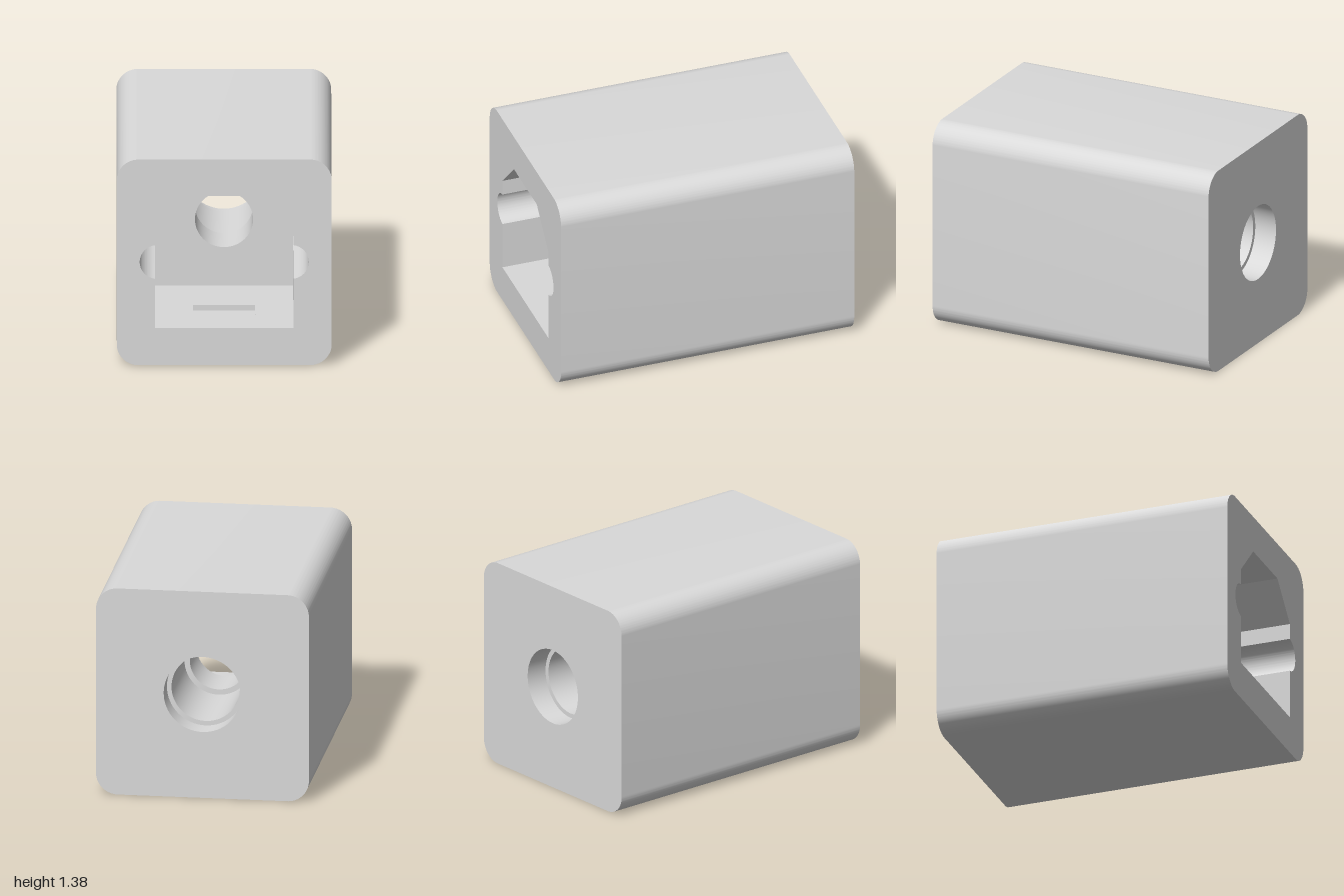
import * as THREE from 'three';
import { toCreasedNormals } from 'three/addons/utils/BufferGeometryUtils.js';

const HALF = 0.6915, CORNER = 0.14, MID = HALF;
const FRONT = 1, BACK = -1, CAVITY_END = 0.06, FLOOR = 0.25;
const AXIS_Y = 0.694, SLOT_DEPTH = 0.035;

// Walls swept along z; counter-clockwise points face outward, flip faces inward
function sleeve(points, z0, z1, flip = false) {
  const p = flip ? [...points].reverse() : points;
  const pos = [];
  for (let i = 0; i < p.length - 1; i++) {
    const a = p[i], b = p[i + 1];
    pos.push(a.x, a.y, z0, b.x, b.y, z0, b.x, b.y, z1);
    pos.push(a.x, a.y, z0, b.x, b.y, z1, a.x, a.y, z1);
  }
  const g = new THREE.BufferGeometry();
  g.setAttribute('position', new THREE.Float32BufferAttribute(pos, 3));
  return toCreasedNormals(g, 0.5);
}

// Flat face with an optional hole, facing +z or -z
function plate(outline, hole, z, faceBack = false) {
  const shape = new THREE.Shape(outline);
  if (hole) shape.holes.push(new THREE.Path(hole));
  const g = new THREE.ShapeGeometry(shape);
  if (faceBack) g.rotateY(Math.PI); // all outlines are left-right symmetric
  return g.translate(0, 0, z);
}

function circle(r) {
  return new THREE.EllipseCurve(0, AXIS_Y, r, r).getPoints(64);
}

function rectangle(x, y0, y1) {
  return [[-x, y0], [x, y0], [x, y1], [-x, y1], [-x, y0]].map(([a, b]) => new THREE.Vector2(a, b));
}

// Rounded square, closed back to its first point
function bodyOutline() {
  const s = new THREE.Path();
  const c = HALF - CORNER, q = Math.PI / 2;
  s.moveTo(-c, 0);
  s.lineTo(c, 0);
  [[c, -c], [c, c], [-c, c], [-c, -c]].forEach(([x, y], i) =>
    s.absarc(x, MID + y, CORNER, (i - 1) * q, i * q, false));
  return s.getPoints(16);
}

// Socket section: chamfered top and a round groove on each side; open along the floor
function cavityOutline() {
  const s = new THREE.Path();
  const r = 0.114, cx = 0.43, a = Math.acos(0.015 / r);
  s.moveTo(0.445, FLOOR);
  s.lineTo(0.445, AXIS_Y - r * Math.sin(a));
  s.absarc(cx, AXIS_Y, r, -a, a, false);
  s.lineTo(0.445, 0.912);
  s.lineTo(0.22, 1.137);
  s.lineTo(-0.22, 1.137);
  s.lineTo(-0.445, 0.912);
  s.absarc(-cx, AXIS_Y, r, Math.PI - a, Math.PI + a, false);
  s.lineTo(-0.445, FLOOR);
  return s.getPoints(24);
}

export function createModel() {
  const group = new THREE.Group();
  const grey = new THREE.MeshStandardMaterial({ color: 0xd9d9d9 });
  grey.name = 'light grey';
  const add = (name, geometry) => {
    const mesh = new THREE.Mesh(geometry, grey);
    mesh.name = name;
    group.add(mesh);
  };

  const body = bodyOutline();
  const cavity = cavityOutline();

  // Bore sections from the back face inward: radius, start z, end z
  const bore = [
    [0.252, BACK, -0.85],
    [0.222, -0.85, -0.25],
    [0.187, -0.25, CAVITY_END],
  ];

  // Outer shell
  add('outerWalls', sleeve(body, BACK, FRONT));
  add('frontFace', plate(body, cavity, FRONT));
  add('backFace', plate(body, circle(bore[0][0]), BACK, true));

  // Socket cavity
  add('socketWalls', sleeve(cavity, CAVITY_END, FRONT, true));
  add('socketBackWall', plate(cavity, circle(bore[2][0]), CAVITY_END));

  // Socket floor with its shallow latch slot
  const slot = rectangle(0.2, -0.71, -0.495);
  const floorParts = [
    ['socketFloor', plate(rectangle(0.445, -FRONT, -CAVITY_END), slot, 0)],
    ['slotWalls', sleeve(slot, -SLOT_DEPTH, 0, true)],
    ['slotBottom', plate(slot, null, -SLOT_DEPTH)],
  ];
  for (const [name, g] of floorParts) {
    add(name, g.rotateX(-Math.PI / 2).translate(0, FLOOR, 0));
  }

  // Stepped cable bore
  bore.forEach(([r, z0, z1], i) => {
    add('boreWall', sleeve(circle(r), z0, z1, true));
    if (i > 0) add('boreStep', plate(circle(bore[i - 1][0]), circle(r), z0, true));
  });

  return group;
}
